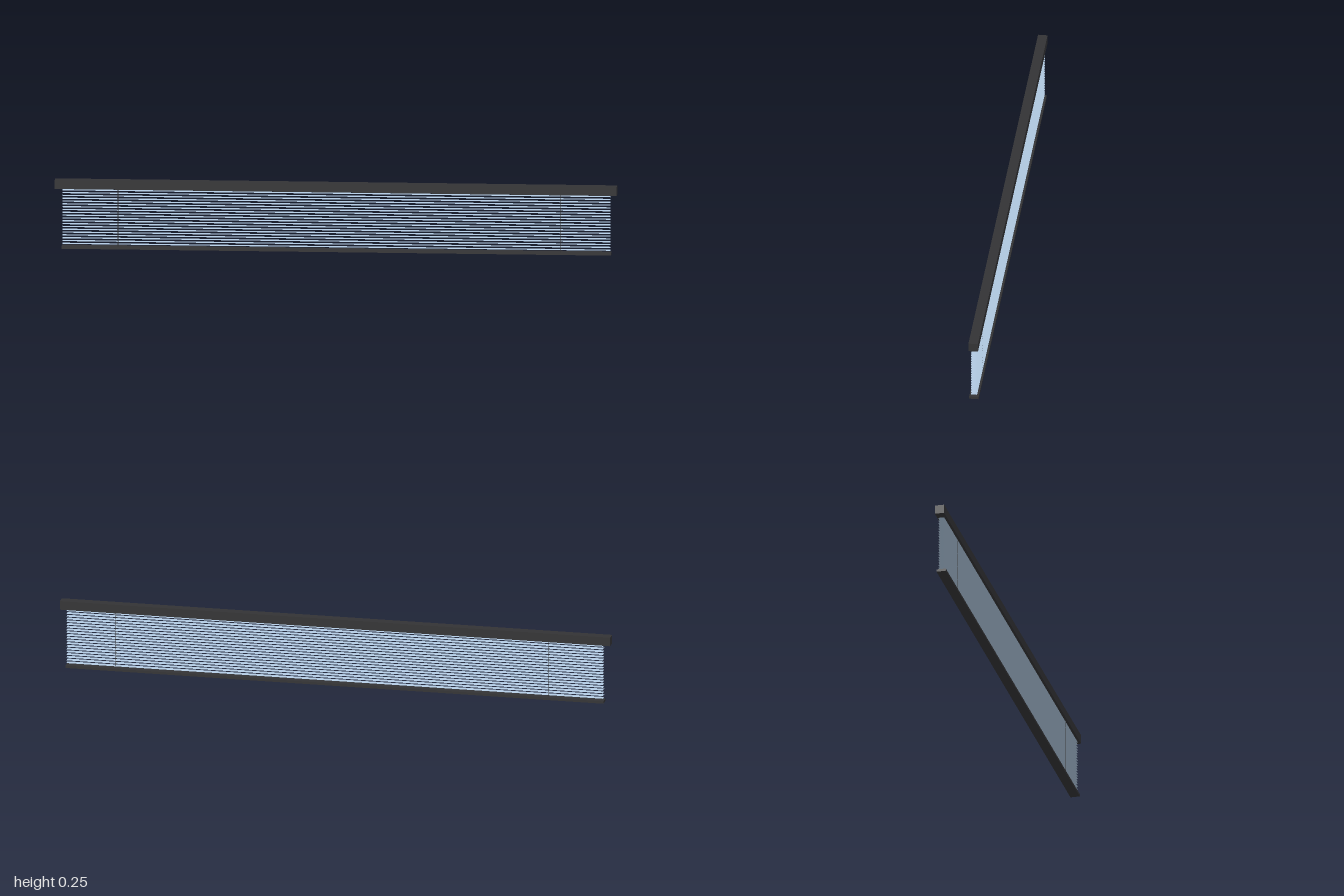
import * as THREE from 'three';

export function createModel() {
  const model = new THREE.Group();
  const dark = new THREE.MeshStandardMaterial({ color: 0x333335 });
  const blue = new THREE.MeshStandardMaterial({ color: 0xb0c8e0, side: THREE.DoubleSide });

  const add = (name, geometry, material, x, y, z) => {
    const mesh = new THREE.Mesh(geometry, material);
    mesh.name = name;
    mesh.position.set(x, y, z);
    model.add(mesh);
  };

  // Head rail and bottom rail
  add('headRail', new THREE.BoxGeometry(2, 0.032, 0.034), dark, 0, 0.232, 0);
  add('bottomRail', new THREE.BoxGeometry(1.955, 0.009, 0.034), dark, 0.002, 0.0045, 0);

  // Thin slats, gently arched across their depth
  const depth = 0.022, rise = 0.0016, count = 20, pitch = 0.0102;
  const slat = new THREE.PlaneGeometry(1.95, depth, 1, 4).rotateX(-Math.PI / 2);
  const p = slat.attributes.position;
  for (let i = 0; i < p.count; i++) {
    const t = p.getZ(i) / (depth / 2);
    p.setY(i, rise * (1 - t * t));
  }
  slat.computeVertexNormals();
  for (let i = 0; i < count; i++) {
    add('slat', slat, blue, 0.002, 0.0165 + i * pitch, 0);
  }

  // Ladder cords in front of and behind the slats
  const cord = new THREE.CylinderGeometry(0.0012, 0.0012, 0.209, 6);
  for (const x of [-0.775, 0.8]) {
    for (const z of [0.0102, -0.0085]) add('ladderCord', cord, dark, x, 0.1125, z);
  }
  return model;
}
